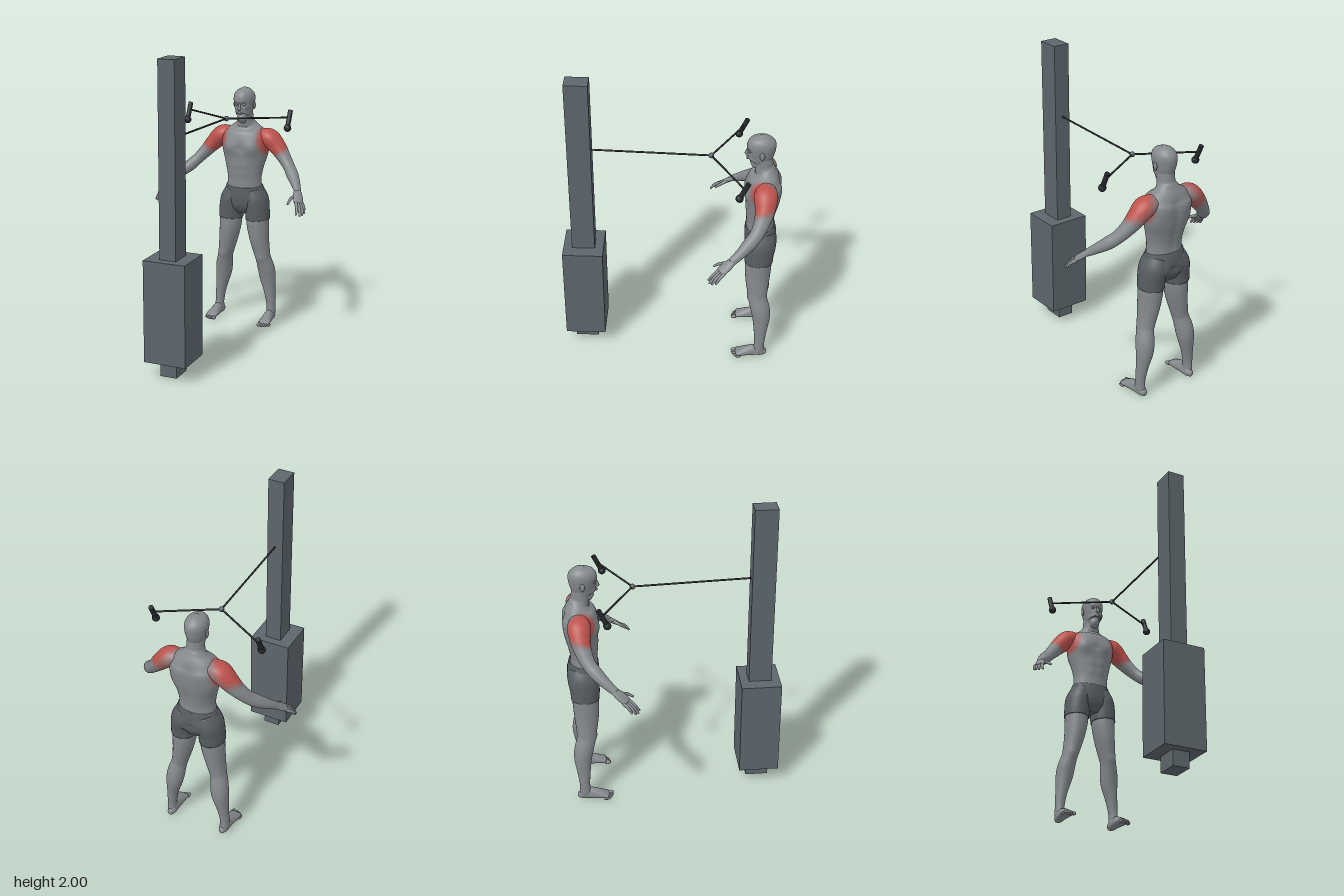
import * as THREE from 'three';

const mat = (name, color) => Object.assign(new THREE.MeshStandardMaterial({ color }), { name });
const V = (x, y, z) => new THREE.Vector3(x, y, z);

// Smooth skin through rows of [x, y, z, side, front, back] radii, with domed ends.
// bumps: [x, y, z, reach, push], mirrored in x.
function loft(rows, { front = V(0, 0, 1), rings = 24, segs = 20, round = 0.6, bumps = [] } = {}) {
  const path = new THREE.CatmullRomCurve3(rows.map(r => V(r[0], r[1], r[2])), false, 'catmullrom', 0.5);
  const size = new THREE.CatmullRomCurve3(rows.map(r => V(r[3], r[4], r[5] ?? r[4])), false, 'catmullrom', 0.5);
  const steps = [];
  for (let k = 0; k < 4; k++) steps.push([0, Math.sin(k * Math.PI / 8), -Math.cos(k * Math.PI / 8)]);
  for (let i = 0; i <= rings; i++) steps.push([i / rings, 1, 0]);
  for (let k = 3; k >= 0; k--) steps.push([1, Math.sin(k * Math.PI / 8), Math.cos(k * Math.PI / 8)]);
  const pos = [], idx = [];
  steps.forEach(([t, scale, shift], i) => {
    const c = path.getPoint(t), r = size.getPoint(t), T = path.getTangent(t);
    const F = front.clone().addScaledVector(T, -front.dot(T)).normalize();
    const S = F.clone().cross(T);
    c.addScaledVector(T, shift * round * Math.min(r.x, r.y, r.z));
    for (let j = 0; j < segs; j++) {
      const a = j / segs * Math.PI * 2, s = Math.sin(a);
      const p = c.clone().addScaledVector(S, Math.cos(a) * r.x * scale)
        .addScaledVector(F, s * (s > 0 ? r.y : r.z) * scale);
      pos.push(p.x, p.y, p.z);
      if (i < steps.length - 1) {
        const b = i * segs + j, n = i * segs + (j + 1) % segs;
        idx.push(b, n, b + segs, n, n + segs, b + segs);
      }
    }
  });
  const g = new THREE.BufferGeometry();
  g.setAttribute('position', new THREE.Float32BufferAttribute(pos, 3));
  g.setIndex(idx);
  g.computeVertexNormals();
  if (bumps.length) {
    const P = g.attributes.position, N = g.attributes.normal;
    for (let i = 0; i < P.count; i++) {
      const p = V().fromBufferAttribute(P, i), n = V().fromBufferAttribute(N, i), q = V(Math.abs(p.x), p.y, p.z);
      let push = 0;
      for (const [x, y, z, reach, h] of bumps) push += h * Math.exp(-q.distanceToSquared(V(x, y, z)) / (reach * reach));
      p.addScaledVector(n, push);
      P.setXYZ(i, p.x, p.y, p.z);
    }
    g.computeVertexNormals();
  }
  return g;
}

// Upright loft from rows of [y, x, side radius, front z, back z]
const upright = (rows, opts) => loft(rows.map(([y, x, r, f, b]) => {
  const z = (f + b) / 2;
  return [x, y, z, r, f - z, z - b];
}), opts);

// Sort triangles into skin and three strengths of red around the shoulder
function paintShoulder(g) {
  const P = g.attributes.position, old = g.index.array, bins = [[], [], [], []], centre = V(0.205, 1.3, -0.57);
  for (let i = 0; i < old.length; i += 3) {
    const m = V(0, 0, 0);
    for (let k = 0; k < 3; k++) m.add(V().fromBufferAttribute(P, old[i + k]));
    m.divideScalar(3);
    m.x = Math.abs(m.x);
    const d = m.distanceTo(centre);
    bins[d < 0.098 ? 3 : d < 0.11 ? 2 : d < 0.125 ? 1 : 0].push(old[i], old[i + 1], old[i + 2]);
  }
  g.setIndex(bins.flat());
  let start = 0;
  bins.forEach((b, i) => { g.addGroup(start, b.length, i); start += b.length; });
  return g;
}

export function createModel() {
  const model = new THREE.Group();
  const skin = mat('skin', 0x84898c), cloth = mat('shorts cloth', 0x575d61), steel = mat('steel', 0x5c666c),
    dark = mat('dark rubber', 0x25292b), red = mat('muscle red', 0xbd524d),
    midRed = mat('fading red', 0xa6645f), paleRed = mat('pale red', 0x95777a);
  const muscle = [skin, paleRed, midRed, red];
  const add = (name, geo, material, x = 0, y = 0, z = 0) => {
    const m = new THREE.Mesh(geo, material);
    m.name = name;
    m.position.set(x, y, z);
    model.add(m);
    return m;
  };
  const ball = (name, material, x, y, z, rx, ry = rx, rz = rx) =>
    add(name, new THREE.SphereGeometry(1, 16, 12), material, x, y, z).scale.set(rx, ry, rz);
  const rod = (name, a, b, r, material) => {
    const d = b.clone().sub(a), mid = a.clone().add(b).multiplyScalar(0.5);
    add(name, new THREE.CylinderGeometry(r, r, d.length(), 16), material, mid.x, mid.y, mid.z)
      .quaternion.setFromUnitVectors(V(0, 1, 0), d.normalize());
  };

  // Cable machine
  add('column', new THREE.BoxGeometry(0.11, 1.99, 0.15), steel, 0, 1.005, 0.573);
  add('weightStack', new THREE.BoxGeometry(0.28, 0.66, 0.264), steel, 0, 0.44, 0.573);
  const joint = V(0, 1.487, -0.253);
  rod('mainCable', V(0, 1.51, 0.51), joint, 0.006, dark);
  ball('cableJoint', steel, joint.x, joint.y, joint.z, 0.018);

  // Head and torso
  add('torso', paintShoulder(upright([
    [0.93, 0, 0.125, -0.49, -0.67], [0.97, 0, 0.122, -0.488, -0.668], [1.03, 0, 0.12, -0.487, -0.668],
    [1.1, 0, 0.133, -0.482, -0.68], [1.18, 0, 0.153, -0.477, -0.698], [1.25, 0, 0.167, -0.475, -0.703],
    [1.31, 0, 0.168, -0.485, -0.698], [1.355, 0, 0.135, -0.512, -0.682], [1.39, 0, 0.083, -0.528, -0.66],
    [1.42, 0, 0.057, -0.525, -0.645], [1.48, 0, 0.053, -0.515, -0.638],
  ], {
    rings: 70, segs: 64, bumps: [
      [0.08, 1.245, -0.48, 0.05, 0.016], [0, 1.24, -0.475, 0.02, -0.007], [0.09, 1.29, -0.69, 0.06, 0.012],
      [0.035, 1.12, -0.48, 0.025, 0.005], [0.035, 1.06, -0.48, 0.025, 0.005], [0.12, 1.2, -0.65, 0.06, 0.008],
      ...[1.0, 1.05, 1.1, 1.15, 1.2, 1.25, 1.3].map(y => [0, y, -0.69, 0.03, -0.009]),
    ],
  })), muscle);
  add('head', upright([
    [1.43, 0, 0.027, -0.487, -0.56], [1.45, 0, 0.044, -0.48, -0.615], [1.49, 0, 0.057, -0.479, -0.635],
    [1.54, 0, 0.067, -0.477, -0.651], [1.58, 0, 0.07, -0.474, -0.656], [1.61, 0, 0.062, -0.485, -0.646],
    [1.632, 0, 0.042, -0.512, -0.62], [1.644, 0, 0.012, -0.55, -0.58],
  ], {
    rings: 48, segs: 48, bumps: [[0.027, 1.54, -0.485, 0.014, -0.011], [0.02, 1.56, -0.478, 0.016, 0.004],
      [0, 1.445, -0.48, 0.015, 0.005], [0.04, 1.5, -0.51, 0.018, -0.004]],
  }), skin);
  add('nose', loft([[0, 1.55, -0.48, 0.006, 0.006], [0, 1.53, -0.474, 0.008, 0.008],
    [0, 1.513, -0.471, 0.013, 0.011], [0, 1.505, -0.475, 0.009, 0.006]], { rings: 10, segs: 12 }), skin);
  ball('lips', skin, 0, 1.483, -0.479, 0.02, 0.008, 0.007);

  // Shorts seat
  add('shortsSeat', upright([
    [0.97, 0, 0.129, -0.482, -0.674], [0.93, 0, 0.142, -0.48, -0.682], [0.88, 0, 0.16, -0.48, -0.686],
    [0.83, 0, 0.15, -0.488, -0.68], [0.78, 0, 0.09, -0.52, -0.655],
  ].reverse(), { rings: 30, segs: 48, round: 0, bumps: [[0.075, 0.87, -0.675, 0.05, 0.012], [0, 0.87, -0.686, 0.022, -0.012]] }), cloth);

  for (const s of [1, -1]) {
    const side = s > 0 ? 'left' : 'right';
    const flip = rows => rows.map(([x, ...rest]) => [x * s, ...rest]);
    const flipX = rows => rows.map(([y, x, ...rest]) => [y, x * s, ...rest]);

    // Face details
    ball(side + 'Ear', skin, s * 0.071, 1.53, -0.568, 0.008, 0.027, 0.016);
    ball(side + 'Eye', skin, s * 0.027, 1.54, -0.494, 0.011, 0.008, 0.009);

    // Arm and hand
    add(side + 'Arm', paintShoulder(loft(flip([
      [0.11, 1.32, -0.6, 0.05, 0.06], [0.175, 1.303, -0.6, 0.063, 0.075], [0.235, 1.245, -0.595, 0.056, 0.064],
      [0.285, 1.187, -0.578, 0.045, 0.052], [0.335, 1.13, -0.547, 0.038, 0.044], [0.375, 1.087, -0.505, 0.039, 0.042],
      [0.418, 1.043, -0.452, 0.03, 0.033], [0.452, 1.005, -0.4, 0.02, 0.026],
    ]), { rings: 70, segs: 40 })), muscle);
    add(side + 'Palm', loft(flip([
      [0.448, 1.01, -0.407, 0.018, 0.024], [0.465, 0.98, -0.37, 0.017, 0.034], [0.485, 0.947, -0.33, 0.013, 0.034],
    ]), { front: V(-0.6 * s, 0.1, 0.7), rings: 12 }), skin);
    [
      [0.445, 0.985, -0.365, 0.425, 0.945, -0.288], [0.472, 0.948, -0.315, 0.495, 0.888, -0.255],
      [0.484, 0.942, -0.323, 0.517, 0.881, -0.262], [0.494, 0.94, -0.335, 0.53, 0.884, -0.278],
      [0.502, 0.943, -0.35, 0.534, 0.892, -0.302],
    ].forEach(([x, y, z, X, Y, Z], i) => {
      const bend = i ? 0.007 : -0.004;
      add(side + (i ? 'Finger' + i : 'Thumb'), loft(flip([
        [x, y, z, 0.011, 0.011], [(x + X) / 2 + bend, (y + Y) / 2 + 0.004, (z + Z) / 2 + 0.004, 0.01, 0.01], [X, Y, Z, 0.007, 0.007],
      ]), { rings: 8, segs: 10, round: 1 }), skin);
    });

    // Leg, shorts leg and foot
    add(side + 'ShortsLeg', upright(flipX([
      [0.735, 0.099, 0.083, -0.486, -0.67], [0.8, 0.096, 0.083, -0.483, -0.675],
      [0.87, 0.088, 0.08, -0.482, -0.685], [0.94, 0.068, 0.062, -0.495, -0.67],
    ]), { round: 0, segs: 32 }), cloth);
    add(side + 'Leg', upright(flipX([
      [0.04, 0.195, 0.03, -0.56, -0.645], [0.1, 0.195, 0.03, -0.572, -0.64], [0.2, 0.184, 0.038, -0.566, -0.652],
      [0.31, 0.166, 0.055, -0.552, -0.67], [0.38, 0.157, 0.057, -0.537, -0.664], [0.45, 0.143, 0.051, -0.521, -0.645],
      [0.5, 0.132, 0.055, -0.512, -0.645], [0.6, 0.113, 0.066, -0.496, -0.655], [0.7, 0.101, 0.076, -0.491, -0.662],
      [0.78, 0.099, 0.075, -0.493, -0.662],
    ]), { rings: 44, segs: 28, bumps: [[0.143, 0.465, -0.518, 0.025, 0.006]] }), skin);
    add(side + 'Foot', loft(flip([
      [0.192, 0.03, -0.645, 0.02, 0.02, 0.024], [0.192, 0.03, -0.62, 0.03, 0.04, 0.029], [0.194, 0.03, -0.57, 0.032, 0.052, 0.028],
      [0.197, 0.028, -0.51, 0.038, 0.036, 0.026], [0.2, 0.024, -0.455, 0.041, 0.014, 0.022],
    ]), { front: V(0, 1, 0), rings: 20, segs: 24 }), skin);
    for (let i = 0; i < 5; i++) {
      const r = i ? 0.009 : 0.012;
      ball(side + 'Toe' + (i + 1), skin, s * (0.169 + i * 0.0155 + (i ? 0.004 : 0)), r + 0.002, -0.438 - i * i * 0.0016, r, r, 0.023);
    }

    // Cable branch and handle
    rod(side + 'Cable', joint, V(s * 0.36, 1.485, -0.462), 0.006, dark);
    rod(side + 'Handle', V(s * 0.362, 1.53, -0.483), V(s * 0.362, 1.425, -0.433), 0.016, dark);
    ball(side + 'HandleKnob', dark, s * 0.362, 1.42, -0.431, 0.025);
  }
  return model;
}
